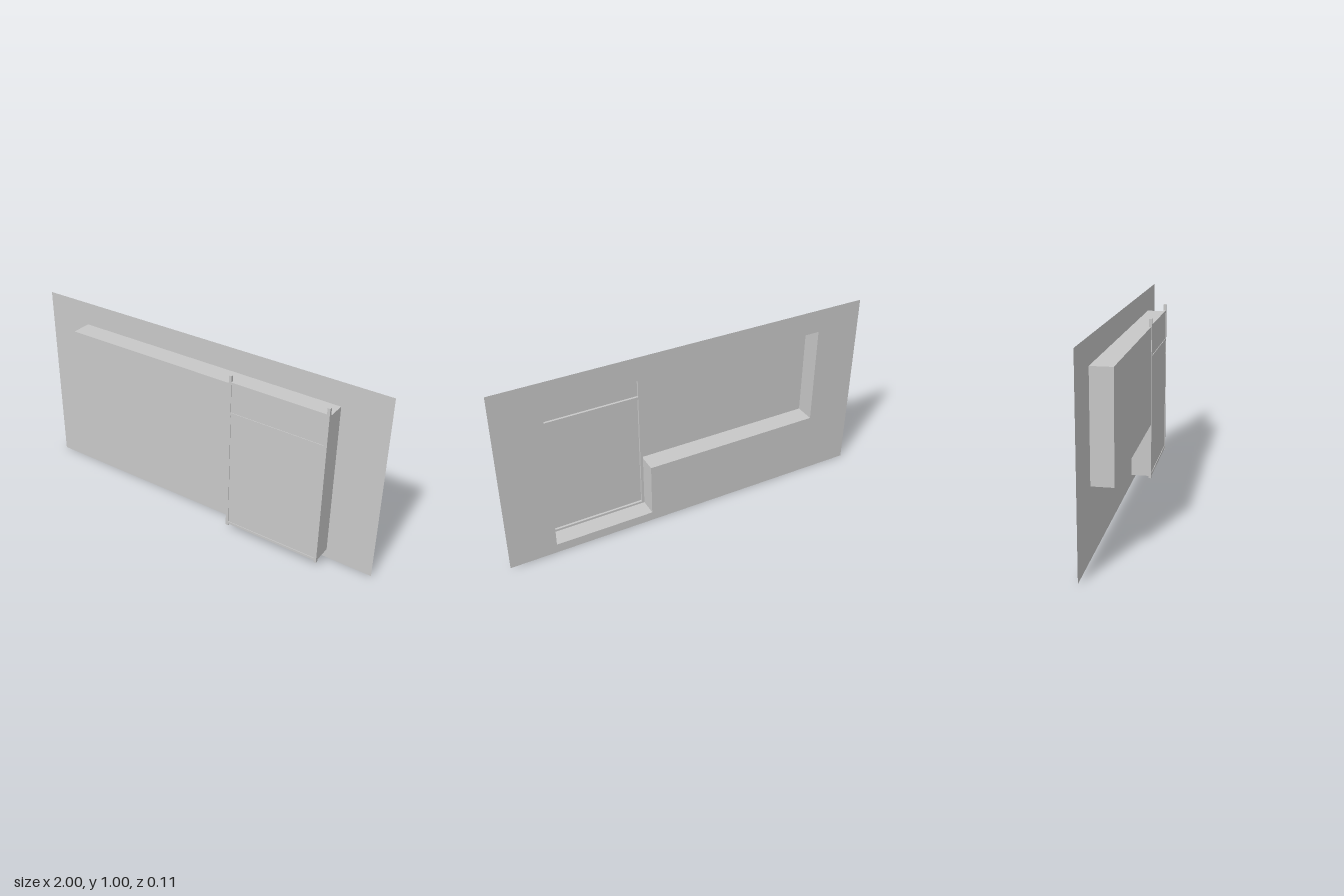
import * as THREE from 'three';

export function createModel() {
  const model = new THREE.Group();
  const grey = new THREE.MeshStandardMaterial({ color: 0xc8c8c8, side: THREE.DoubleSide });
  grey.name = 'light grey';

  const add = (name, geometry, x = 0, y = 0, z = 0) => {
    const mesh = new THREE.Mesh(geometry, grey);
    mesh.name = name;
    mesh.position.set(x, y, z);
    model.add(mesh);
    return mesh;
  };

  const back = -0.055, pane = 0.052, frameZ = 0.0475, frameDepth = 0.015;
  const left = -0.752, step = 0.22, right = 0.752;
  const bottom = 0.05, sill = 0.341, top = 0.875;

  // L-shaped outline shared by the opening, its reveal and the pane
  const outline = [
    [left, sill], [step, sill], [step, bottom],
    [right, bottom], [right, top], [left, top],
  ].map(([x, y]) => new THREE.Vector2(x, y));

  // Thin wall sheet with the opening cut out
  const wall = new THREE.Shape([
    new THREE.Vector2(-1, 0), new THREE.Vector2(1, 0),
    new THREE.Vector2(1, 1), new THREE.Vector2(-1, 1),
  ]);
  wall.holes.push(new THREE.Path(outline));
  add('wall', new THREE.ShapeGeometry(wall), 0, 0, back);

  // Flat window and door pane at the front of the reveal
  add('pane', new THREE.ShapeGeometry(new THREE.Shape(outline)), 0, 0, pane);

  // Reveal: one flat strip along each edge of the outline
  outline.forEach((a, i) => {
    const b = outline[(i + 1) % outline.length];
    const strip = new THREE.PlaneGeometry(a.distanceTo(b), pane - back);
    strip.rotateX(Math.PI / 2);
    strip.rotateZ(Math.atan2(b.y - a.y, b.x - a.x));
    add('reveal', strip, (a.x + b.x) / 2, (a.y + b.y) / 2, (pane + back) / 2);
  });

  // Door posts, running past the rails at both ends
  const postWidth = 0.014, postBottom = 0.037, postTop = 0.916;
  for (const x of [step + postWidth / 2, right - postWidth / 2]) {
    add('doorPost', new THREE.BoxGeometry(postWidth, postTop - postBottom, frameDepth),
      x, (postTop + postBottom) / 2, frameZ);
  }

  // Door rails: threshold, transom and head
  const railLength = right - step - 2 * postWidth;
  for (const [name, y] of [['threshold', 0.055], ['transom', 0.711], ['headRail', 0.877]]) {
    add(name, new THREE.BoxGeometry(railLength, 0.014, frameDepth), (step + right) / 2, y, frameZ);
  }

  return model;
}
